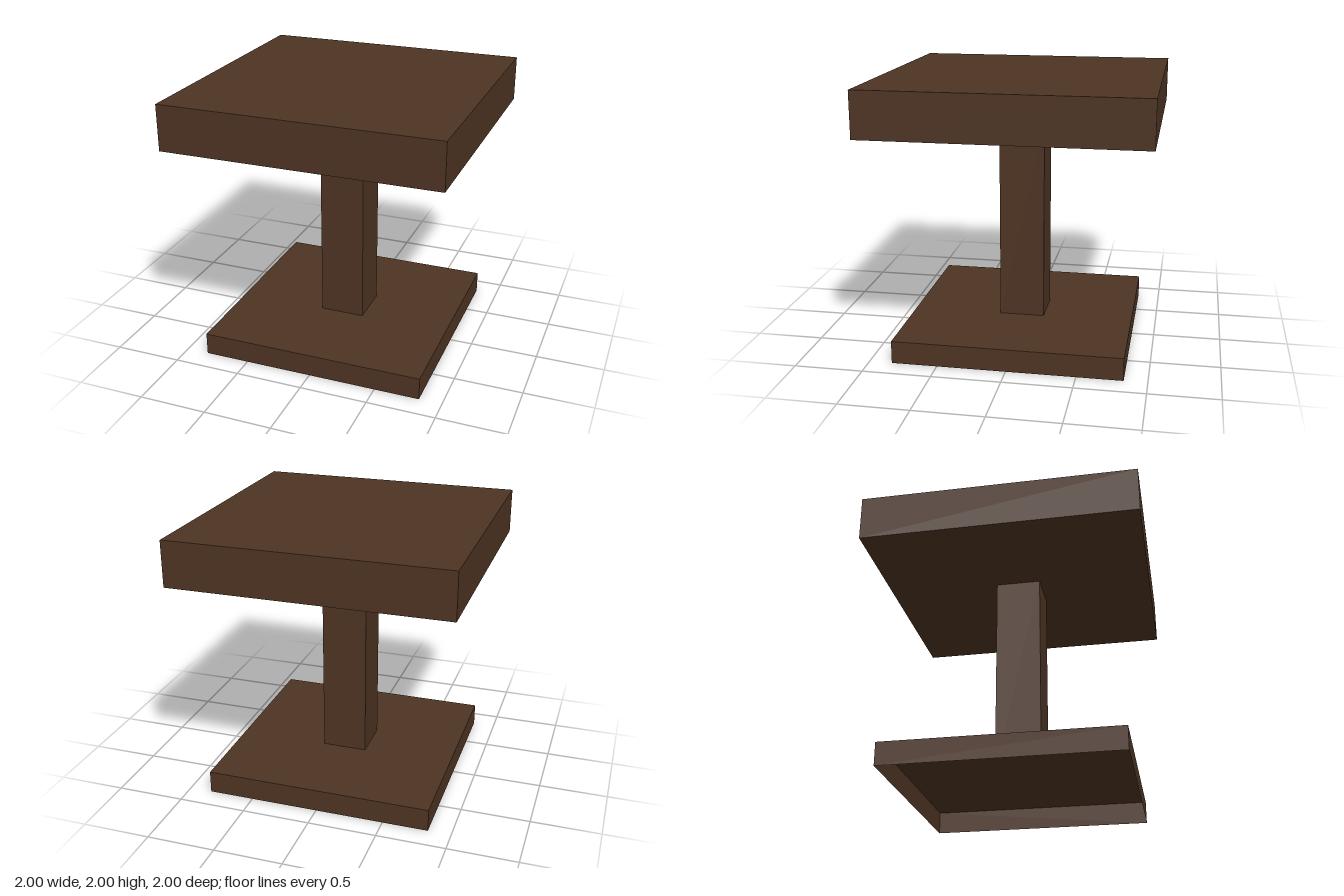
import * as THREE from 'three';

const U = 1 / 6; // modelling unit

export function createModel() {
  const group = new THREE.Group();
  group.name = 'pedestalTable';

  const darkWood = new THREE.MeshStandardMaterial({ color: 0x4e3423, side: THREE.DoubleSide });
  darkWood.name = 'darkWood';

  // Square block standing on height y; openFaces lists box sides left out (2 = top, 3 = bottom)
  function block(name, width, height, y, openFaces = []) {
    const geometry = new THREE.BoxGeometry(width * U, height * U, width * U);
    const index = Array.from(geometry.index.array);
    geometry.setIndex(index.filter((_, i) => !openFaces.includes(Math.floor(i / 6))));
    geometry.clearGroups();
    const mesh = new THREE.Mesh(geometry, darkWood);
    mesh.name = name;
    mesh.position.y = (y + height / 2) * U;
    group.add(mesh);
  }

  block('base', 10, 1, 0, [3]); // hollow foot, open underneath
  block('column', 2, 9, 1, [2, 3]); // ends hidden by base and top
  block('tableTop', 12, 2, 10);

  return group;
}
